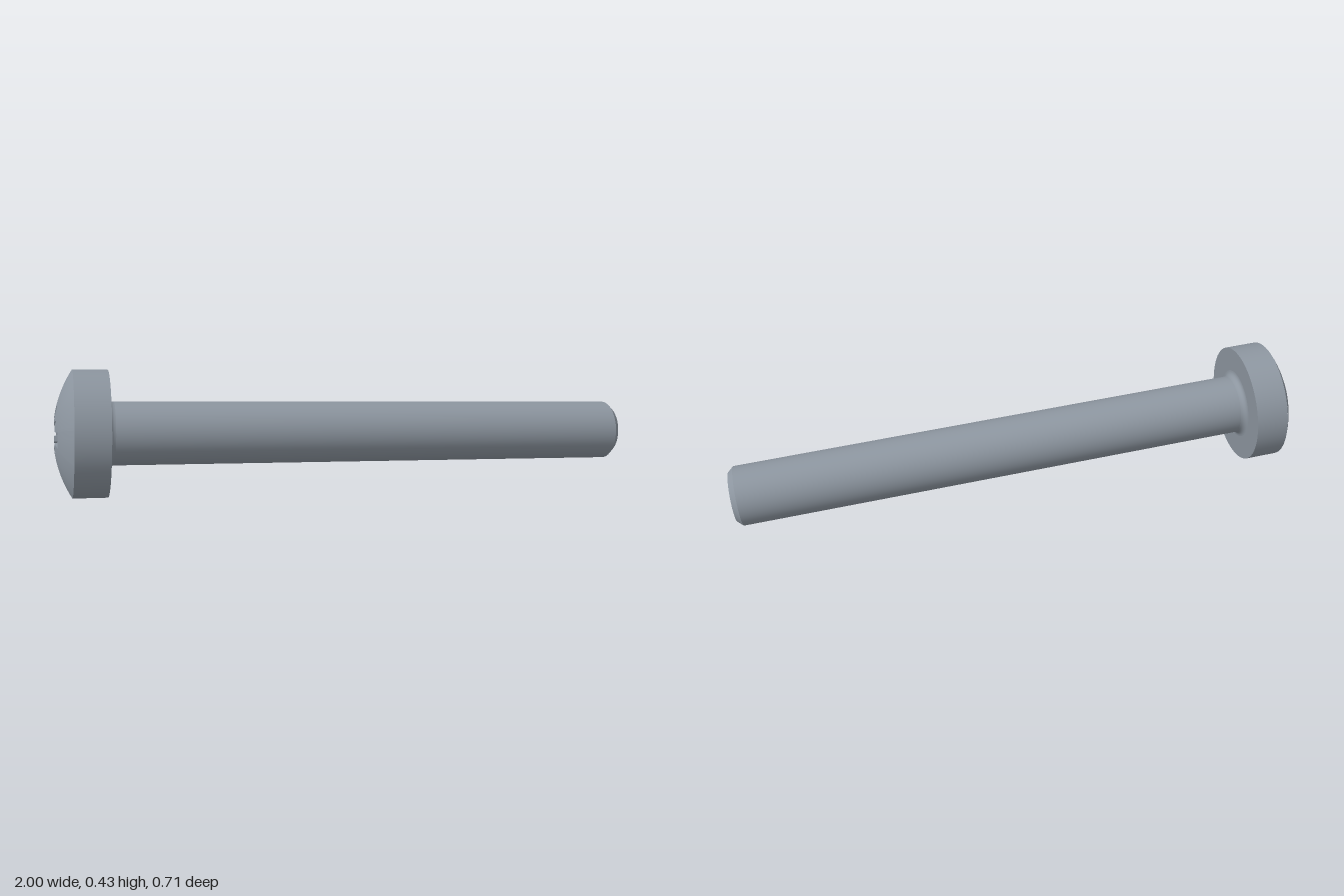
import * as THREE from 'three';

const HEAD_R = 0.21, RIM_H = 0.113, DOME_H = 0.06, SHANK_R = 0.105, LENGTH = 1.847;
const DOME_R = (HEAD_R * HEAD_R + DOME_H * DOME_H) / (2 * DOME_H);

// Height of the domed head at radius r (the head faces -y, the tip +y)
const domeY = r => -RIM_H + DOME_R - DOME_H - Math.sqrt(DOME_R * DOME_R - r * r);

// Surface through a list of closed rings, from the innermost to the outermost, facing -y
function ringSurface(rings, flat) {
  const n = rings[0].length, index = [];
  for (let k = 0; k < rings.length - 1; k++) {
    for (let i = 0; i < n; i++) {
      const j = (i + 1) % n, a = k * n, b = a + n;
      index.push(a + i, b + i, b + j, a + i, b + j, a + j);
    }
  }
  let g = new THREE.BufferGeometry().setFromPoints(rings.flat());
  g.setIndex(index);
  if (flat) g = g.toNonIndexed();
  g.computeVertexNormals();
  return g;
}

// Cross outline with four flared wings and a narrow notch between each pair
function recessOutline() {
  const quarter = [[0.095, -0.026], [0.095, 0.026], [0.05, 0.018], [0.046, 0.036],
    [0.058, 0.058], [0.036, 0.046], [0.018, 0.05]];
  const corners = [];
  for (let q = 0; q < 4; q++) {
    for (const [x, y] of quarter) {
      corners.push(new THREE.Vector2(x, y).rotateAround(new THREE.Vector2(), q * Math.PI / 2));
    }
  }
  const points = [];
  corners.forEach((p, i) => {
    const next = corners[(i + 1) % corners.length];
    for (let s = 0; s < 4; s++) points.push(p.clone().lerp(next, s / 4));
  });
  return points;
}

export function createModel() {
  const model = new THREE.Group();
  const screw = new THREE.Group();
  screw.name = 'screw';
  model.add(screw);
  const steel = new THREE.MeshStandardMaterial({ color: 0x8d96a0 });
  steel.name = 'steel';

  const add = (name, geometry) => {
    const mesh = new THREE.Mesh(geometry, steel);
    mesh.name = name;
    screw.add(mesh);
  };
  const lathe = (name, points) =>
    add(name, new THREE.LatheGeometry(points.map(p => new THREE.Vector2(...p)), 64));

  // Turned parts, kept separate so their edges stay sharp
  const f = 0.02, chamfer = 0.02, tipR = 0.087;
  const fillet = [];
  for (let i = 0; i <= 6; i++) {
    const a = i / 6 * Math.PI / 2;
    fillet.push([SHANK_R + f - f * Math.sin(a), f - f * Math.cos(a)]);
  }
  lathe('headRim', [[HEAD_R, -RIM_H], [HEAD_R, 0]]);
  lathe('headUnderside', [[HEAD_R, 0], [SHANK_R + f, 0]]);
  lathe('neckFillet', fillet);
  lathe('shank', [[SHANK_R, f], [SHANK_R, LENGTH - chamfer]]);
  lathe('tipChamfer', [[SHANK_R, LENGTH - chamfer], [tipR, LENGTH]]);
  lathe('tipFace', [[tipR, LENGTH], [0, LENGTH]]);

  // Domed head, from the recess outline out to the rim
  const outline = recessOutline();
  const domeRings = [];
  for (let k = 0; k <= 8; k++) {
    domeRings.push(outline.map(p => {
      const r = THREE.MathUtils.lerp(p.length(), HEAD_R, k / 8), a = p.angle();
      return new THREE.Vector3(r * Math.cos(a), domeY(r), r * Math.sin(a));
    }));
  }
  add('headDome', ringSurface(domeRings));

  // Tapered recess walls and shallow conical floor
  const floorY = -0.065;
  const floor = outline.map(p => new THREE.Vector3(p.x * 0.65, floorY, p.y * 0.65));
  const centre = outline.map(() => new THREE.Vector3(0, floorY + 0.015, 0));
  add('recessWalls', ringSurface([floor, domeRings[0]], true));
  add('recessFloor', ringSurface([centre, floor], true));

  // Lay the screw on its head and tip, keeping one recess wing upright
  const axis = new THREE.Vector3(1.803, -0.107, 0.386).normalize();
  const up = new THREE.Vector3(0, 1, 0).addScaledVector(axis, -axis.y).normalize();
  const side = new THREE.Vector3().crossVectors(up, axis);
  screw.quaternion.setFromRotationMatrix(new THREE.Matrix4().makeBasis(up, axis, side));
  screw.position.set(-0.822, 0.212, -0.128);
  return model;
}
